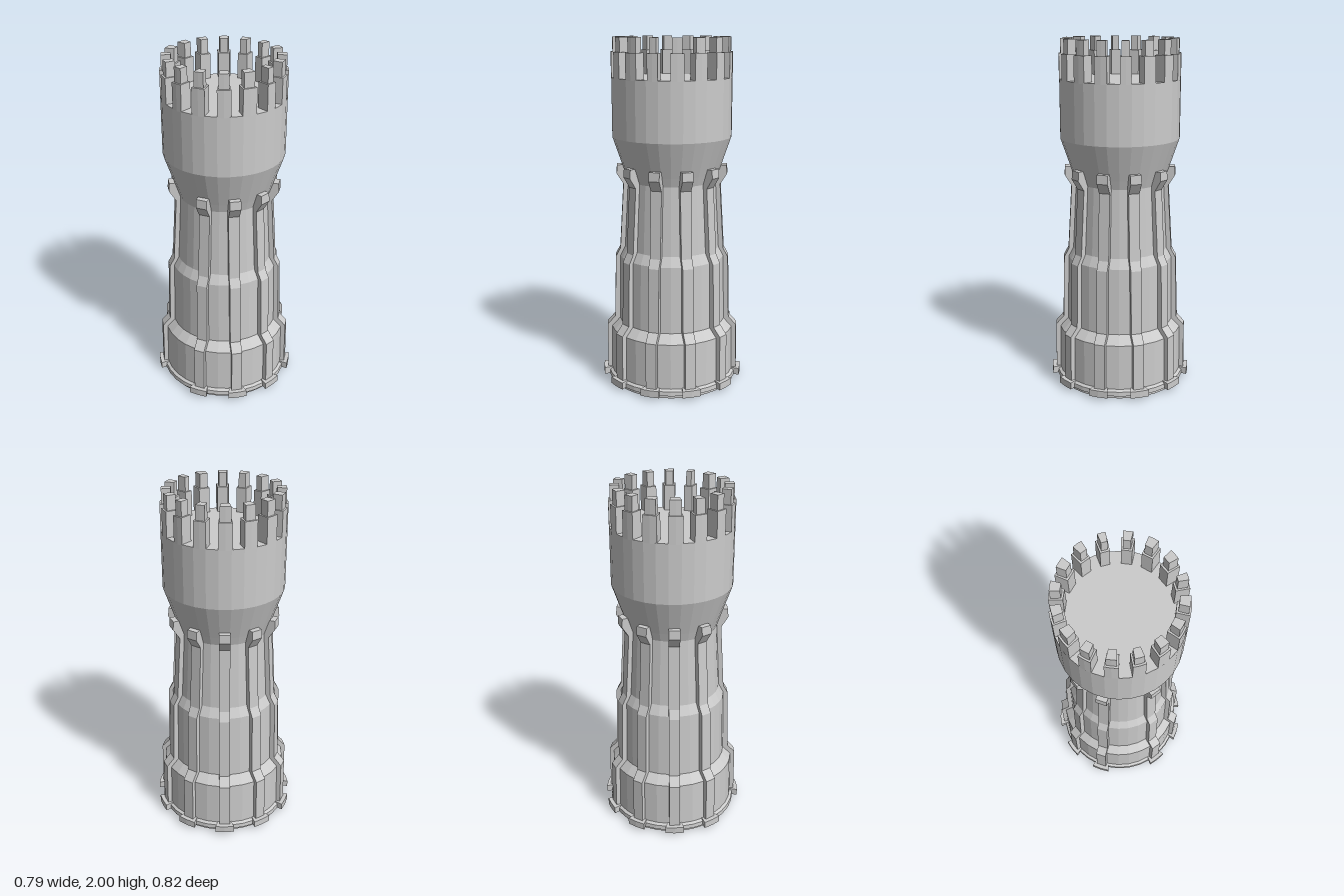
import * as THREE from 'three';

const material = new THREE.MeshStandardMaterial({ color: 0xcccccc, flatShading: true });
const SIDES = 32;

function addMesh(parent, geometry, name, angle = 0) {
  const mesh = new THREE.Mesh(geometry, material);
  mesh.name = name;
  mesh.rotation.y = angle;
  parent.add(mesh);
  return mesh;
}

// Surface of revolution from [radius, height] pairs, bottom to top
function turned(points) {
  return new THREE.LatheGeometry(points.map(([r, y]) => new THREE.Vector2(r, y)), SIDES);
}

// Upright wedge between two radii, with a slightly curved outer face
function wedge(inner, outer, innerWidth, outerWidth, y0, y1) {
  const corner = Math.sqrt(outer * outer - outerWidth * outerWidth / 4);
  const shape = new THREE.Shape([
    [inner, -innerWidth / 2], [corner, -outerWidth / 2], [outer, 0],
    [corner, outerWidth / 2], [inner, innerWidth / 2],
  ].map(([x, y]) => new THREE.Vector2(x, y)));
  const geometry = new THREE.ExtrudeGeometry(shape, { depth: y1 - y0, bevelEnabled: false });
  return geometry.rotateX(-Math.PI / 2).translate(0, y0, 0);
}

// Side outline of a rib, extruded across its width
function ribGeometry(width) {
  const shape = new THREE.Shape([
    [0.33, 0.03], [0.388, 0.03], [0.385, 0.33], [0.34, 0.38], [0.33, 0.75],
    [0.303, 0.80], [0.28, 1.18], [0.318, 1.24], [0.315, 1.29], [0.27, 1.29],
    [0.235, 1.18], [0.25, 0.80], [0.29, 0.70], [0.29, 0.36],
  ].map(([r, y]) => new THREE.Vector2(r, y)));
  return new THREE.ExtrudeGeometry(shape, { depth: width, bevelEnabled: false })
    .translate(0, 0, -width / 2);
}

export function createModel() {
  const model = new THREE.Group();
  model.name = 'tower';
  const tower = new THREE.Group();
  tower.name = 'towerBody';
  tower.position.x = -0.01;
  model.add(tower);

  // Base, stepped shaft and flared drum with a flat deck
  addMesh(tower, turned([
    [0, 0], [0.367, 0], [0.367, 0.02], [0.382, 0.02], [0.38, 0.045], [0.364, 0.055],
    [0.36, 0.32],
  ]), 'base');
  addMesh(tower, turned([
    [0.36, 0.32], [0.313, 0.37], [0.305, 0.755], [0.277, 0.81], [0.256, 1.2],
  ]), 'shaft');
  addMesh(tower, turned([
    [0.256, 1.2], [0.272, 1.25], [0.34, 1.45], [0.34, 1.78], [0, 1.78],
  ]), 'drum');

  // Ten ribs with splayed feet, leaving a wider gap on one side
  const rib = ribGeometry(0.062);
  const foot = wedge(0.345, 0.412, 0.075, 0.11, 0.02, 0.06);
  for (let i = 0; i < 10; i++) {
    const angle = THREE.MathUtils.degToRad(16.8 + 33.7 * (i - 5));
    addMesh(tower, rib, 'rib', angle);
    addMesh(tower, foot, 'ribFoot', angle);
  }

  // Crown of stepped merlons with slightly uneven widths
  const widths = [0.06, 0.068, 0.075, 0.072, 0.076, 0.078, 0.068, 0.07,
    0.066, 0.07, 0.072, 0.076, 0.058, 0.072, 0.072, 0.068];
  widths.forEach((w, i) => {
    const angle = THREE.MathUtils.degToRad(6 + 22.5 * i);
    addMesh(tower, wedge(0.268, 0.34, w * 0.82, w, 1.775, 1.92), 'merlon', angle);
    addMesh(tower, wedge(0.278, 0.33, w * 0.82 - 0.018, w - 0.018, 1.915, 2), 'merlonCap', angle);
  });

  return model;
}
